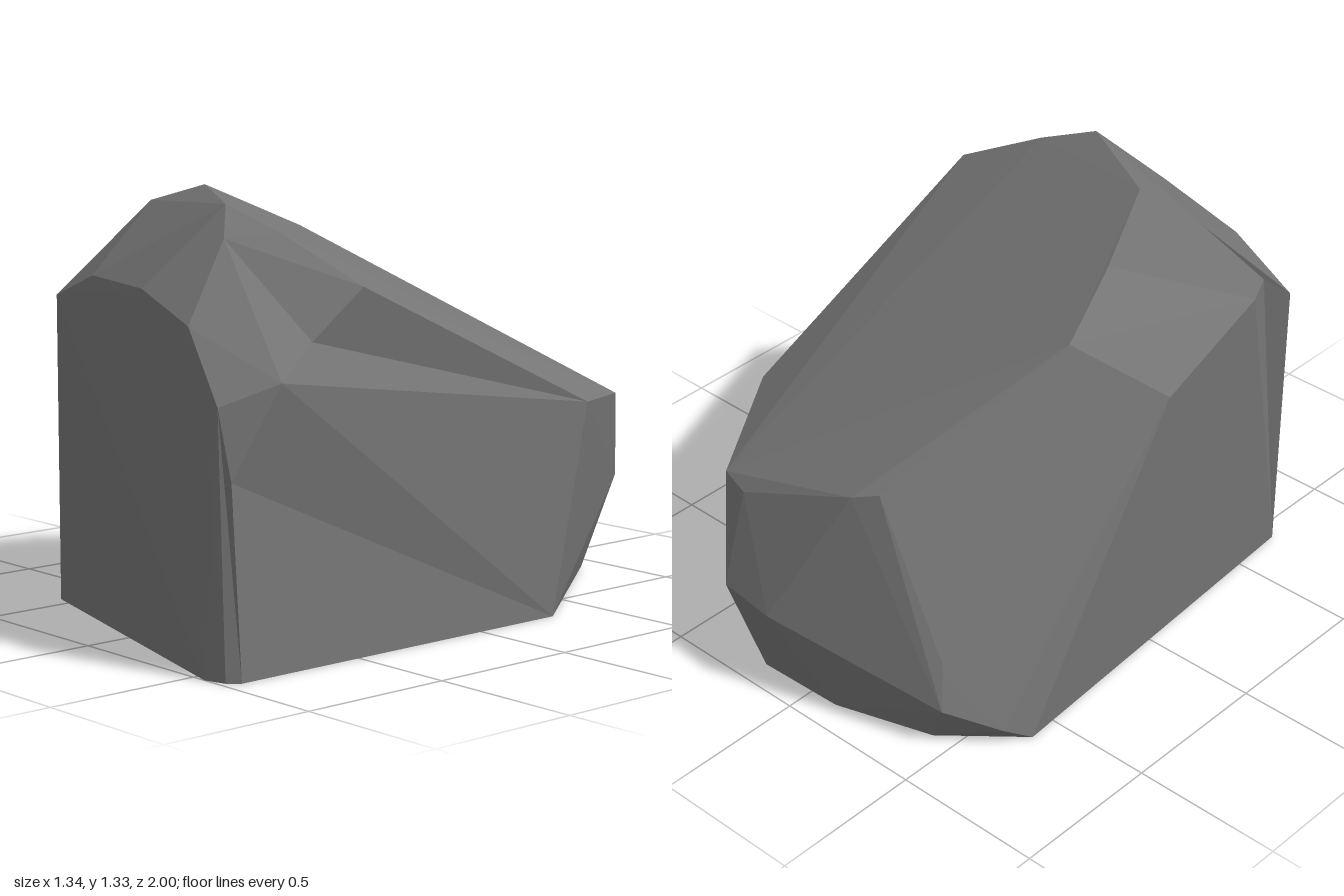
import * as THREE from 'three';
import { ConvexGeometry } from 'three/addons/geometries/ConvexGeometry.js';

const v = (x, y, z) => new THREE.Vector3(x, y, z);

// split the edge a-b of a triangle list at a new point, to dent the hull there
function dent(tris, a, b, p) {
  const same = (s, t) => s.distanceTo(t) < 1e-4;
  return tris.flatMap((tri) => {
    for (let i = 0; i < 3; i++) {
      const [s, t, u] = [tri[i], tri[(i + 1) % 3], tri[(i + 2) % 3]];
      if ((same(s, a) && same(t, b)) || (same(s, b) && same(t, a))) return [[s, p, u], [p, t, u]];
    }
    return [tri];
  });
}

export function createModel() {
  const stone = new THREE.MeshStandardMaterial({ color: 0x757575 });
  stone.name = 'stone grey';

  const crownLeft = v(-0.42, 1.27, 0.42);
  const leftShoulder = v(-0.65, 1.11, 0.4);
  const backShoulder = v(-0.44, 1.15, -0.215);
  const frontCorner = v(-0.58, 0.975, 0.675);
  const rightShoulder = v(0.64, 1.09, 0.475);
  const rightKnob = v(0.67, 0.845, 0.81);
  const rightFoot = v(0.65, 0, 0.945);

  const points = [
    // front face
    v(-0.56, 0, 0.69), frontCorner, v(-0.31, 1.063, 0.735), v(0.07, 1.063, 0.84),
    v(0.37, 0.985, 0.905), v(0.57, 0.78, 0.962), v(0.55, 0, 1),
    // narrow front right bevel
    v(0.62, 0, 0.98), rightFoot, rightKnob,
    // crown and right shoulder
    v(-0.2, 1.33, 0.38), v(0.17, 1.305, 0.6), v(0.27, 1.215, 0.69), v(0.36, 1.23, 0.55),
    crownLeft, rightShoulder,
    // left side
    leftShoulder, v(-0.67, 0.97, -0.02), backShoulder,
    v(-0.65, 0, -0.6), v(-0.615, 0.06, -0.69),
    // back
    v(0.65, 0.66, -0.455), v(0.65, 0, -0.31), v(0.4, 0.62, -0.85), v(0.29, 0.61, -0.88),
    v(-0.12, 0.76, -0.82), v(-0.2, 0.785, -0.78), v(0.28, 0.32, -0.985), v(0.08, 0.31, -1),
    v(-0.46, 0.29, -0.79), v(-0.49, 0.15, -0.83),
    v(0.2, 0, -0.91), v(-0.1, 0, -0.9), v(-0.42, 0, -0.8),
  ];

  const hull = new ConvexGeometry(points).getAttribute('position');
  let tris = [];
  for (let i = 0; i < hull.count; i += 3) {
    tris.push([0, 1, 2].map((k) => v().fromBufferAttribute(hull, i + k)));
  }
  // chipped places along the edges
  tris = dent(tris, leftShoulder, frontCorner, v(-0.53, 1.04, 0.6));
  tris = dent(tris, crownLeft, backShoulder, v(-0.3, 1.21, 0.12));
  tris = dent(tris, rightShoulder, rightKnob, v(0.605, 0.94, 0.64));
  tris = dent(tris, rightKnob, rightFoot, v(0.615, 0.57, 0.95));

  const geometry = new THREE.BufferGeometry().setFromPoints(tris.flat());
  geometry.computeVertexNormals();

  const boulder = new THREE.Mesh(geometry, stone);
  boulder.name = 'boulder';
  const group = new THREE.Group();
  group.name = 'rock';
  group.add(boulder);
  return group;
}
